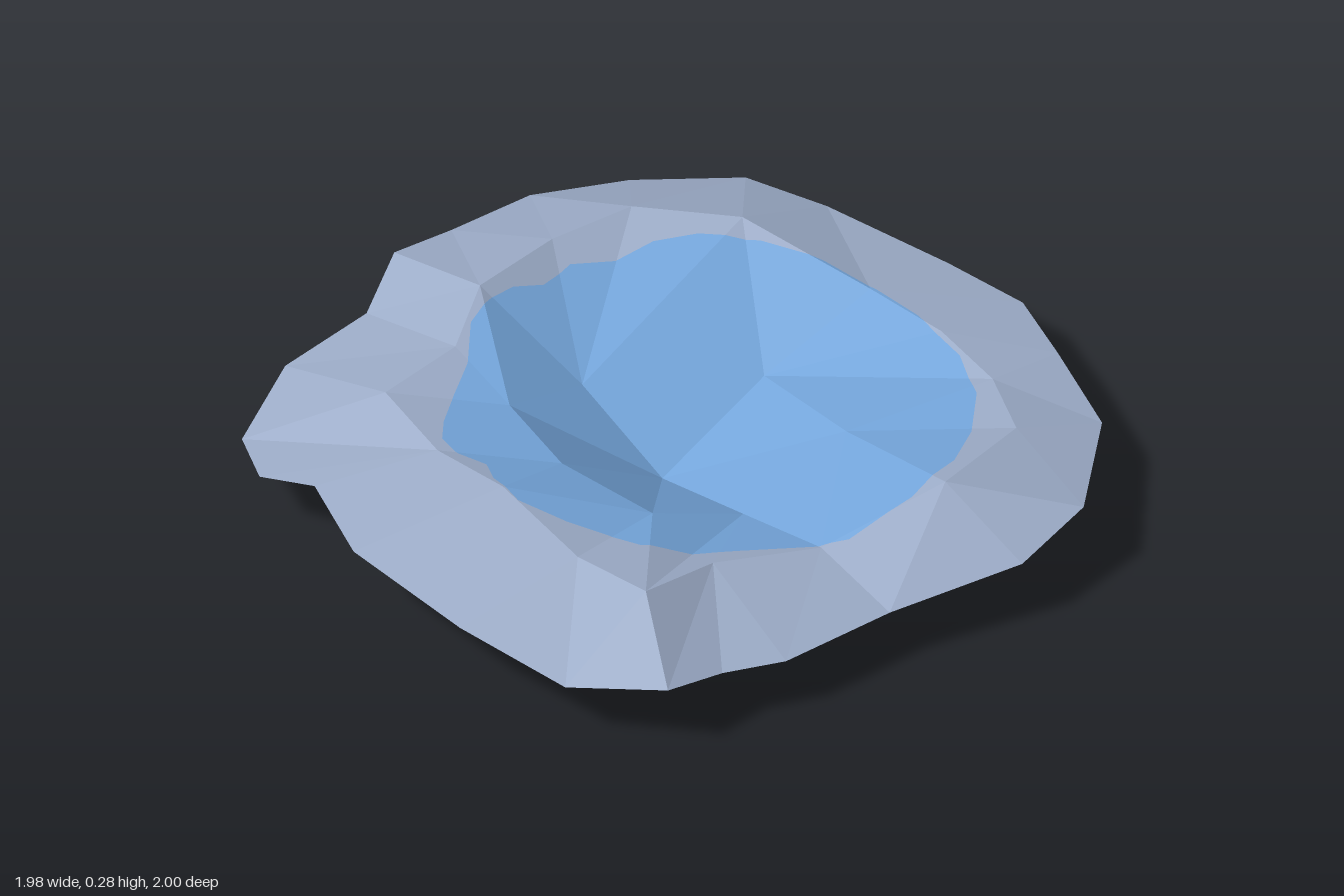
import * as THREE from 'three';

const bankMaterial = new THREE.MeshStandardMaterial({ color: 0x9eaeca, flatShading: true, side: THREE.DoubleSide });
bankMaterial.name = 'blue grey bank';
const waterMaterial = new THREE.MeshStandardMaterial({ color: 0x76a8de, flatShading: true, side: THREE.DoubleSide });
waterMaterial.name = 'water blue';

const toPoints = (rows) => rows.map(([x, y, z]) => new THREE.Vector3(x, y, z));

// Deepest point of the basin, and the rings around it (x, y, z)
const pit = new THREE.Vector3(-0.01, 0, -0.06);
const slope = toPoints([
  [0.39, 0.09, -0.08], [0.28, 0.17, 0.3], [-0.08, 0.1, 0.28], [-0.33, 0.2, 0.2],
  [-0.34, 0.21, -0.1], [-0.25, 0.21, -0.36], [0.02, 0.125, -0.36],
]);
const crest = toPoints([
  [0.73, 0.2, -0.03], [0.72, 0.2, 0.22], [0.66, 0.2, 0.45], [0.53, 0.22, 0.65], [0.19, 0.275, 0.72],
  [-0.14, 0.19, 0.6], [-0.4, 0.22, 0.47], [-0.66, 0.28, 0.48], [-0.64, 0.25, 0.23], [-0.58, 0.28, -0.08],
  [-0.55, 0.25, -0.33], [-0.46, 0.25, -0.59], [-0.2, 0.25, -0.59], [0, 0.28, -0.69], [0.29, 0.255, -0.71],
  [0.53, 0.25, -0.66], [0.68, 0.255, -0.42],
]);
const rim = toPoints([
  [0.985, 0.155, 0], [0.99, 0.155, 0.25], [0.88, 0.17, 0.47], [0.75, 0.16, 0.74], [0.42, 0.2, 0.98],
  [0.17, 0.17, 1], [-0.18, 0.145, 0.87], [-0.51, 0.15, 0.82], [-0.66, 0.155, 0.74], [-0.84, 0.19, 0.72],
  [-0.97, 0.155, 0.49], [-0.99, 0.18, 0.15], [-0.96, 0.205, -0.24], [-0.81, 0.19, -0.51],
  [-0.84, 0.155, -0.67], [-0.72, 0.12, -0.84], [-0.45, 0.15, -0.94], [-0.17, 0.17, -0.92],
  [0.02, 0.215, -1], [0.21, 0.19, -0.98], [0.48, 0.16, -0.96], [0.73, 0.125, -0.85],
  [0.91, 0.15, -0.62], [0.95, 0.16, -0.38],
]);

// Shoreline of the water seen from above (x, z)
const shore = [
  [0.74, -0.02], [0.73, 0.13], [0.68, 0.32], [0.59, 0.46], [0.45, 0.57], [0.3, 0.65], [0.11, 0.68],
  [-0.08, 0.64], [-0.15, 0.58], [-0.29, 0.46], [-0.39, 0.38], [-0.48, 0.3], [-0.5, 0.21], [-0.55, 0.11],
  [-0.59, -0.02], [-0.56, -0.13], [-0.51, -0.2], [-0.52, -0.29], [-0.5, -0.36], [-0.44, -0.41],
  [-0.34, -0.47], [-0.22, -0.53], [-0.11, -0.62], [0, -0.65], [0.08, -0.65], [0.16, -0.62], [0.27, -0.63],
  [0.37, -0.57], [0.48, -0.54], [0.57, -0.47], [0.66, -0.34], [0.72, -0.18],
].map(([x, z]) => new THREE.Vector3(x, 0, z));

// Angle around the pit, counted from just before the +x axis
const TURN = Math.PI * 2;
const angle = (p) => (Math.atan2(p.z - pit.z, p.x - pit.x) + 0.1 + TURN) % TURN;

// Fill the band between two rings, always advancing the ring that lags behind
function stitch(inner, outer, triangles) {
  const at = (ring, i) => ring[i % ring.length];
  const turn = (ring, i) => angle(at(ring, i)) + (i >= ring.length ? TURN : 0);
  let i = 0, j = 0;
  while (i < inner.length || j < outer.length) {
    const a = at(inner, i), b = at(outer, j);
    const stepInner = j >= outer.length || (i < inner.length && turn(inner, i + 1) < turn(outer, j + 1));
    triangles.push([a, b, stepInner ? at(inner, ++i) : at(outer, ++j)]);
  }
}

// Keep the part of a polygon on one side of the vertical plane through a and b
function clip(polygon, a, b, sign) {
  const side = (p) => sign * ((b.x - a.x) * (p.z - a.z) - (b.z - a.z) * (p.x - a.x));
  const kept = [];
  polygon.forEach((p, i) => {
    const q = polygon[(i + 1) % polygon.length];
    const sp = side(p), sq = side(q);
    if (sp >= 0) kept.push(p);
    if ((sp > 0 && sq < 0) || (sp < 0 && sq > 0)) kept.push(p.clone().lerp(q, sp / (sp - sq)));
  });
  return kept;
}

// Add a convex polygon as an upward facing fan
function addPolygon(polygon, positions) {
  for (let i = 1; i + 1 < polygon.length; i++) {
    const [a, b, c] = [polygon[0], polygon[i], polygon[i + 1]];
    const up = (b.z - a.z) * (c.x - a.x) - (b.x - a.x) * (c.z - a.z);
    if (Math.abs(up) < 1e-9) continue;
    for (const p of up > 0 ? [a, b, c] : [a, c, b]) positions.push(p.x, p.y, p.z);
  }
}

function makeMesh(name, positions, material) {
  const geometry = new THREE.BufferGeometry();
  geometry.setAttribute('position', new THREE.Float32BufferAttribute(positions, 3));
  geometry.computeVertexNormals();
  const mesh = new THREE.Mesh(geometry, material);
  mesh.name = name;
  return mesh;
}

export function createModel() {
  // Faceted basin: pit, inner slope, raised crest and outer rim
  const triangles = slope.map((p, i) => [pit, p, slope[(i + 1) % slope.length]]);
  stitch(slope, crest, triangles);
  stitch(crest, rim, triangles);

  // Split the facets along the shoreline, one wedge at a time
  const bank = [], water = [];
  for (const triangle of triangles) {
    shore.forEach((a, i) => {
      const b = shore[(i + 1) % shore.length];
      const wedge = clip(clip(triangle, pit, a, 1), pit, b, -1);
      addPolygon(clip(wedge, a, b, 1), water);
      addPolygon(clip(wedge, a, b, -1), bank);
    });
  }

  const group = new THREE.Group();
  group.name = 'pond';
  group.add(makeMesh('bank', bank, bankMaterial), makeMesh('water', water, waterMaterial));
  return group;
}
